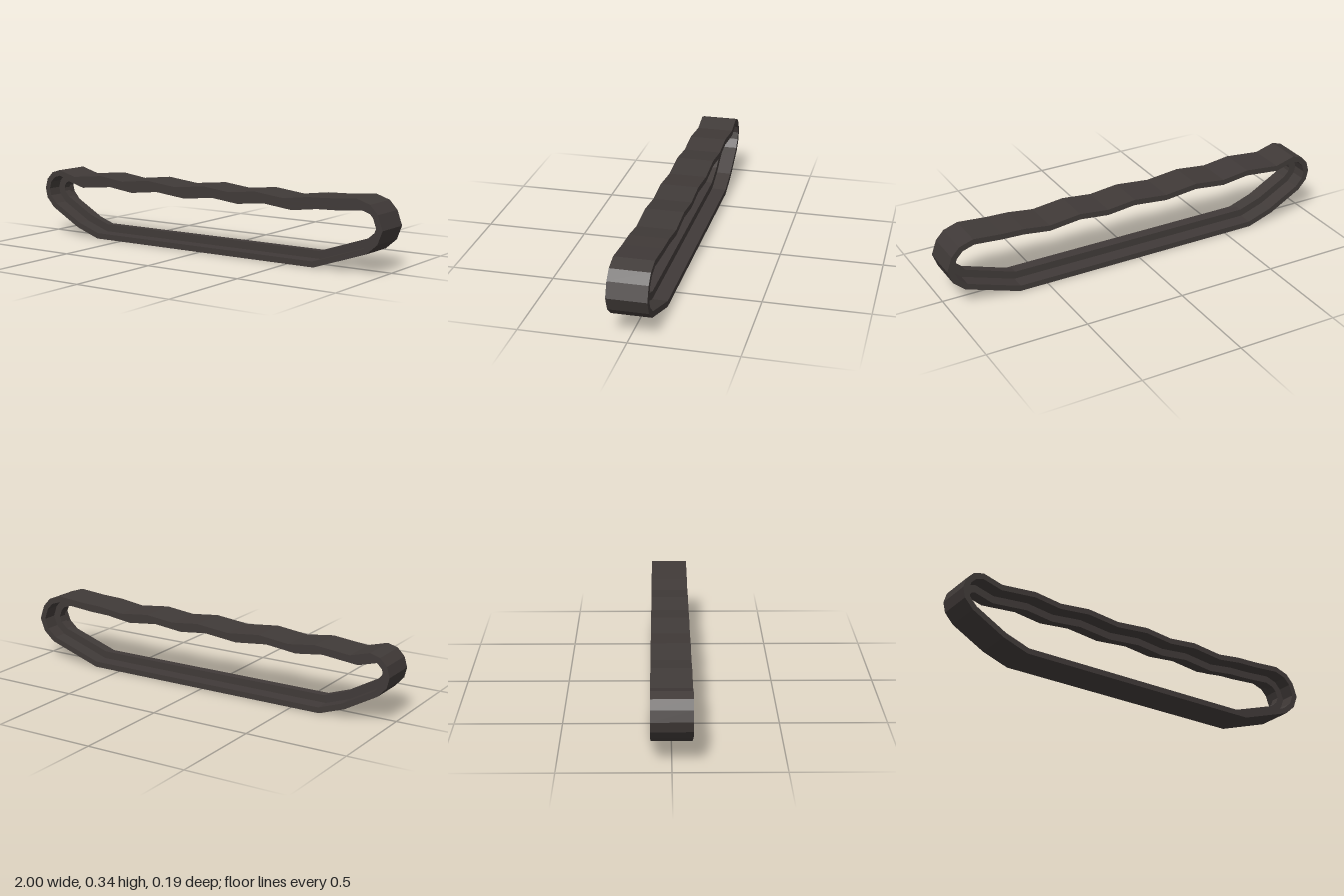
import * as THREE from 'three';

// Outer outline of the track, clockwise from the rear top
const OUTLINE = [
  [-0.9, 0.336], [-0.8, 0.308], [-0.62, 0.326], [-0.48, 0.308], [-0.32, 0.326],
  [-0.15, 0.308], [0.025, 0.326], [0.17, 0.31], [0.32, 0.326], [0.48, 0.308],
  [0.61, 0.325], [0.72, 0.329], [0.865, 0.341], [0.935, 0.318], [0.975, 0.275],
  [1.0, 0.205], [0.975, 0.14], [0.92, 0.092], [0.645, 0], [-0.65, 0],
  [-0.78, 0.045], [-0.945, 0.137], [-0.988, 0.185], [-1.0, 0.235], [-0.985, 0.285], [-0.95, 0.321],
].map(([x, y]) => new THREE.Vector2(x, y));

// Moves the closed outline inward by d with mitred corners
function inset(points, d) {
  const n = points.length;
  const inward = (a, b) => {
    const v = b.clone().sub(a).normalize();
    return new THREE.Vector2(v.y, -v.x);
  };
  return points.map((p, i) => {
    const n1 = inward(points[(i + n - 1) % n], p);
    const n2 = inward(p, points[(i + 1) % n]);
    const m = n1.clone().add(n2);
    return p.clone().addScaledVector(m, d / (1 + n1.dot(n2)));
  });
}

// Closed belt between two inset depths, centred on z = 0
function belt(name, from, to, width, material) {
  const shape = new THREE.Shape(inset(OUTLINE, from));
  // The hole runs the opposite way so its walls face inward
  shape.holes.push(new THREE.Path(inset(OUTLINE, to).reverse()));
  const geometry = new THREE.ExtrudeGeometry(shape, { depth: width, bevelEnabled: false });
  geometry.translate(0, 0, -width / 2);
  const mesh = new THREE.Mesh(geometry, material);
  mesh.name = name;
  return mesh;
}

export function createModel() {
  const rubber = new THREE.MeshStandardMaterial({ color: 0x403a38, flatShading: true });
  rubber.name = 'dark track rubber';

  const group = new THREE.Group();
  group.name = 'track';
  group.add(
    belt('trackBand', 0, 0.028, 0.186, rubber),
    // Raised rib along the middle of the inside
    belt('guideRib', 0.027, 0.065, 0.04, rubber),
  );
  return group;
}
